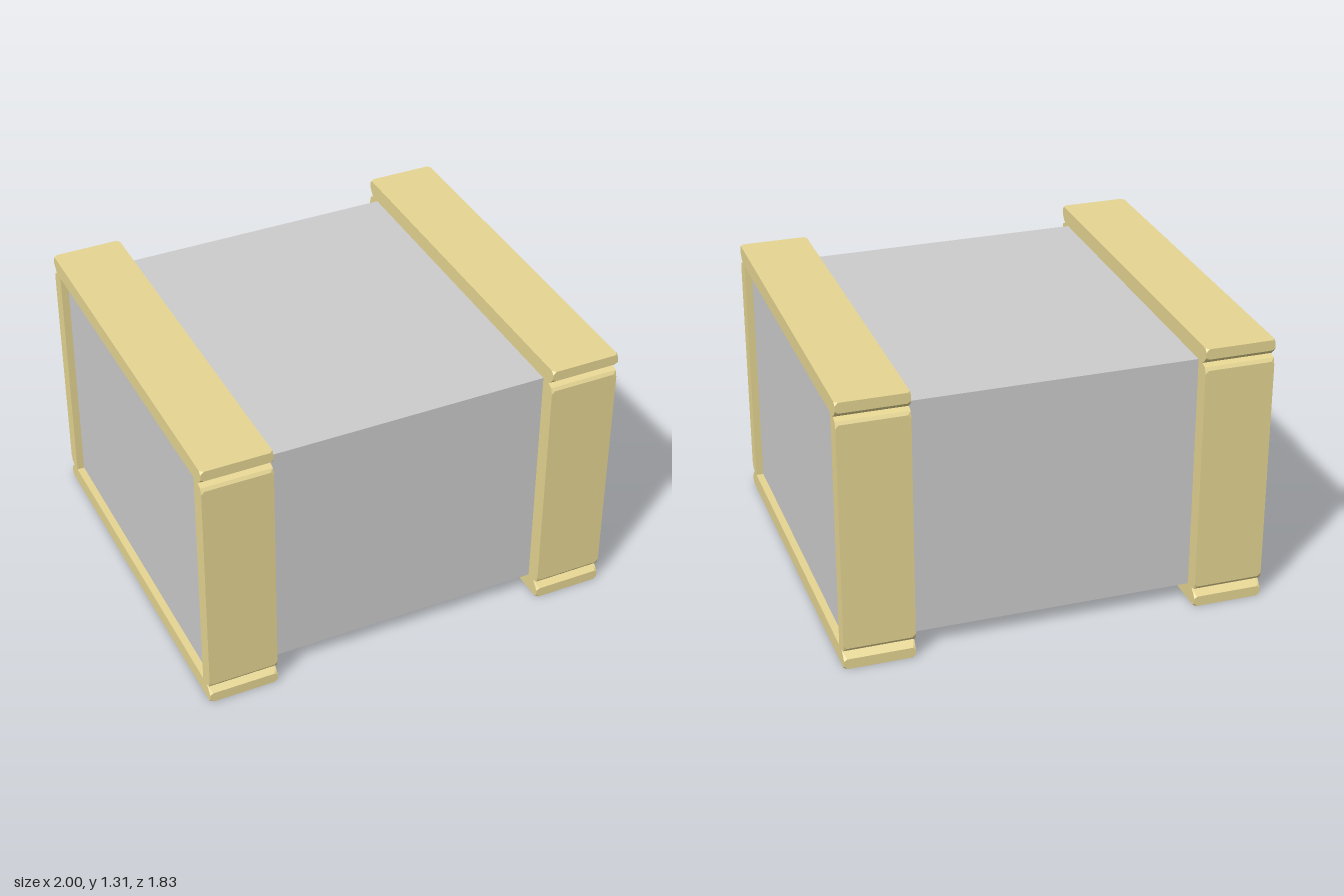
import * as THREE from 'three';
import { ConvexGeometry } from 'three/addons/geometries/ConvexGeometry.js';

const H = 1.31, D = 0.915, T = 0.08, W = 0.165, C = 0.015; // frame height, half depth, slat thickness, half width, corner cut

// Convex slat, mirrored in x and z; each point is [x, y, z]
function slat(points, signsZ, material, name) {
  const all = [];
  for (const sx of [-1, 1]) for (const sz of signsZ)
    for (const [x, y, z] of points) all.push(new THREE.Vector3(sx * x, y, sz * z));
  const mesh = new THREE.Mesh(new ConvexGeometry(all), material);
  mesh.name = name;
  return mesh;
}

export function createModel() {
  const group = new THREE.Group();
  const grey = new THREE.MeshStandardMaterial({ color: 0xcccccc });
  const wood = new THREE.MeshStandardMaterial({ color: 0xe5d592, flatShading: true });
  const mid = H / 2;

  // Plain box held between the two frames
  const body = new THREE.Mesh(new THREE.BoxGeometry(1.93, H - 2 * T, 2 * (D - T)), grey);
  body.position.y = mid;
  body.name = 'body';
  group.add(body);

  // Half outline of the long slat: clipped outer corner, bevelled inner edge (y from the middle)
  const longHalf = [
    [W - C, mid, D], [W, mid - C, D], [W, mid, D - C],
    [W - C, mid - 0.05, D], [W, mid - 0.04, D], [W, mid - 0.06, D - C],
    [W, mid - T, D - 0.038],
  ];
  // Upright slat end, bevelled on its outer edge
  const uprightEnd = [
    [W - C, mid - 0.105, D], [W, mid - 0.12, D], [W, mid - 0.09, D - 0.01],
    [W, mid - T, D - 0.038], [W, mid - T, D - T],
  ];
  const flip = (pts) => pts.map(([x, y, z]) => [x, -y, z]);

  // One rectangular frame of four slats at each end
  for (const side of [1, -1]) {
    const frame = new THREE.Group();
    frame.name = side > 0 ? 'leftFrame' : 'rightFrame';
    frame.add(slat(longHalf, [-1, 1], wood, 'topSlat'));
    frame.add(slat(flip(longHalf), [-1, 1], wood, 'bottomSlat'));
    const upright = [...uprightEnd, ...flip(uprightEnd)];
    frame.add(slat(upright, [1], wood, 'frontSlat'));
    frame.add(slat(upright, [-1], wood, 'backSlat'));
    frame.position.set(side * (1 - W), mid, 0);
    group.add(frame);
  }
  return group;
}
